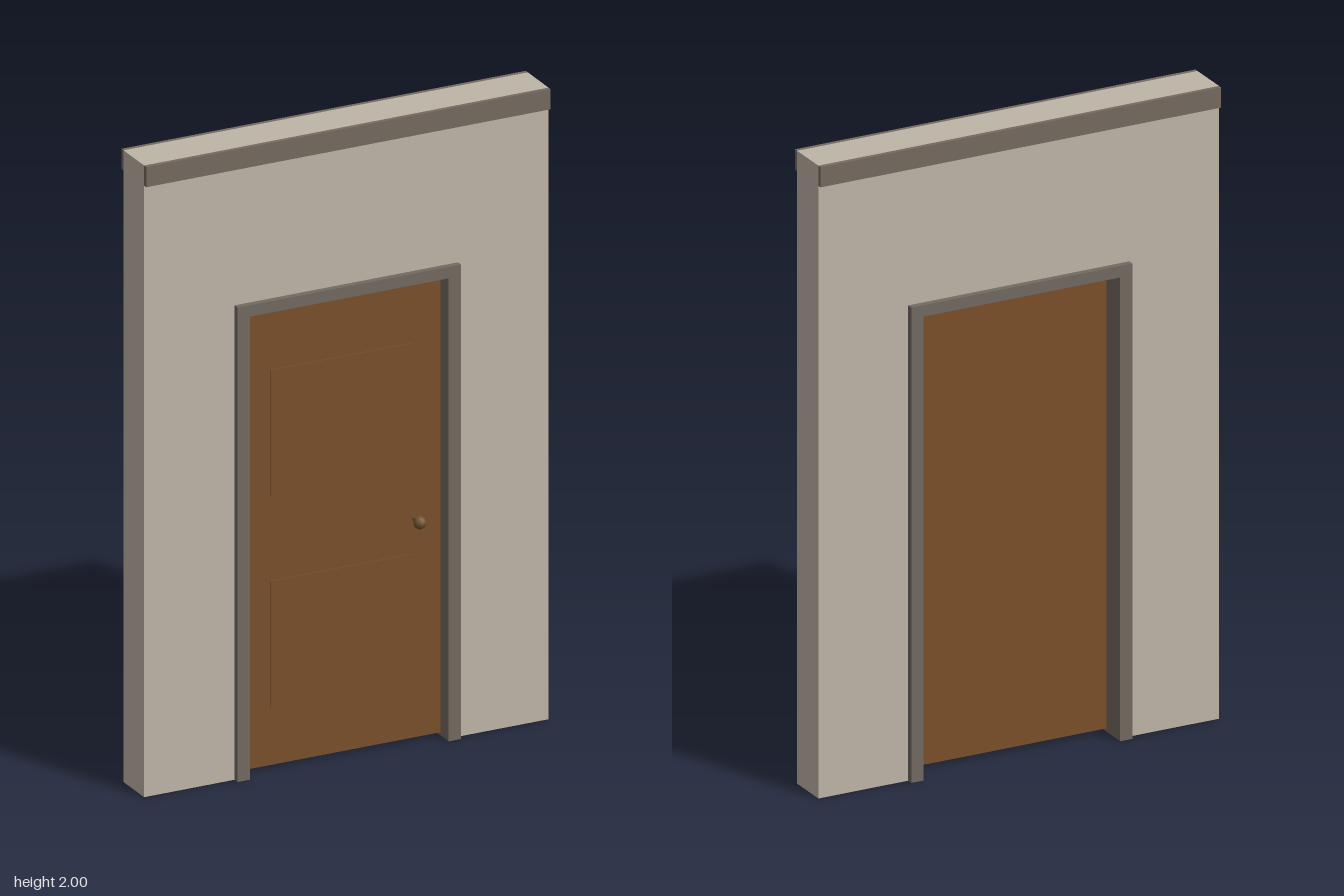
import * as THREE from 'three';

const flat = (name, color) => {
  const m = new THREE.MeshStandardMaterial({ color });
  m.name = name;
  return m;
};

export function createModel() {
  const plaster = flat('plaster', 0xbfb5a8);
  const trim = flat('trim', 0x756a5f);
  const frameGrey = flat('frameGrey', 0x726a61);
  const wood = flat('wood', 0x7a4f2a);
  const brass = flat('brass', 0x6e5530);

  const model = new THREE.Group();
  model.name = 'doorWall';

  const add = (name, geometry, material, x = 0, y = 0, z = 0) => {
    const mesh = new THREE.Mesh(geometry, material);
    mesh.name = name;
    mesh.position.set(x, y, z);
    model.add(mesh);
    return mesh;
  };

  // An upside-down U standing on the floor, extruded and centred on z
  const arch = (outerX, outerY, innerX, innerY, depth) => {
    const shape = new THREE.Shape([
      [-outerX, 0], [-innerX, 0], [-innerX, innerY], [innerX, innerY],
      [innerX, 0], [outerX, 0], [outerX, outerY], [-outerX, outerY],
    ].map(([x, y]) => new THREE.Vector2(x, y)));
    return new THREE.ExtrudeGeometry(shape, { depth, bevelEnabled: false })
      .translate(0, 0, -depth / 2);
  };

  const wallDepth = 0.133, halfWidth = 0.666;
  const openX = 0.327, openY = 1.466;

  // Wall with doorway, and the frame lining it
  add('wall', arch(halfWidth, 2, 0.368, 1.502, wallDepth), plaster);
  add('doorFrame', arch(0.368, 1.502, openX, openY, 0.173), frameGrey);

  // Moulding along the top of both faces
  const stripDepth = 0.0135, stripHeight = 0.064;
  for (const [name, side] of [['frontMoulding', 1], ['backMoulding', -1]]) {
    add(name, new THREE.BoxGeometry(halfWidth * 2, stripHeight, stripDepth), trim,
      0, 2 - stripHeight / 2, side * (wallDepth + stripDepth) / 2);
  }

  // Door leaf with a small gap over the floor
  const gap = 0.01, leafDepth = 0.034, leafFront = 0.034;
  add('doorLeaf', new THREE.BoxGeometry(openX * 2, openY - gap, leafDepth), wood,
    0, (openY + gap) / 2, leafFront - leafDepth / 2);

  // Two shallow raised panels on the front
  for (const [name, y] of [['upperPanel', 1.06], ['lowerPanel', 0.392]]) {
    add(name, new THREE.BoxGeometry(0.466, 0.402, 0.004), wood, 0, y, leafFront + 0.002);
  }

  // Knob on its spindle
  const knobX = 0.24, knobY = 0.703, knobZ = 0.07;
  add('knob', new THREE.SphereGeometry(0.02, 8, 8), brass, knobX, knobY, knobZ);
  add('knobSpindle', new THREE.CylinderGeometry(0.007, 0.007, knobZ - leafFront, 8), brass,
    knobX, knobY, (knobZ + leafFront) / 2).rotation.x = Math.PI / 2;

  // Centre the whole depth, knob included
  for (const part of model.children) part.position.z -= 0.002;
  return model;
}
